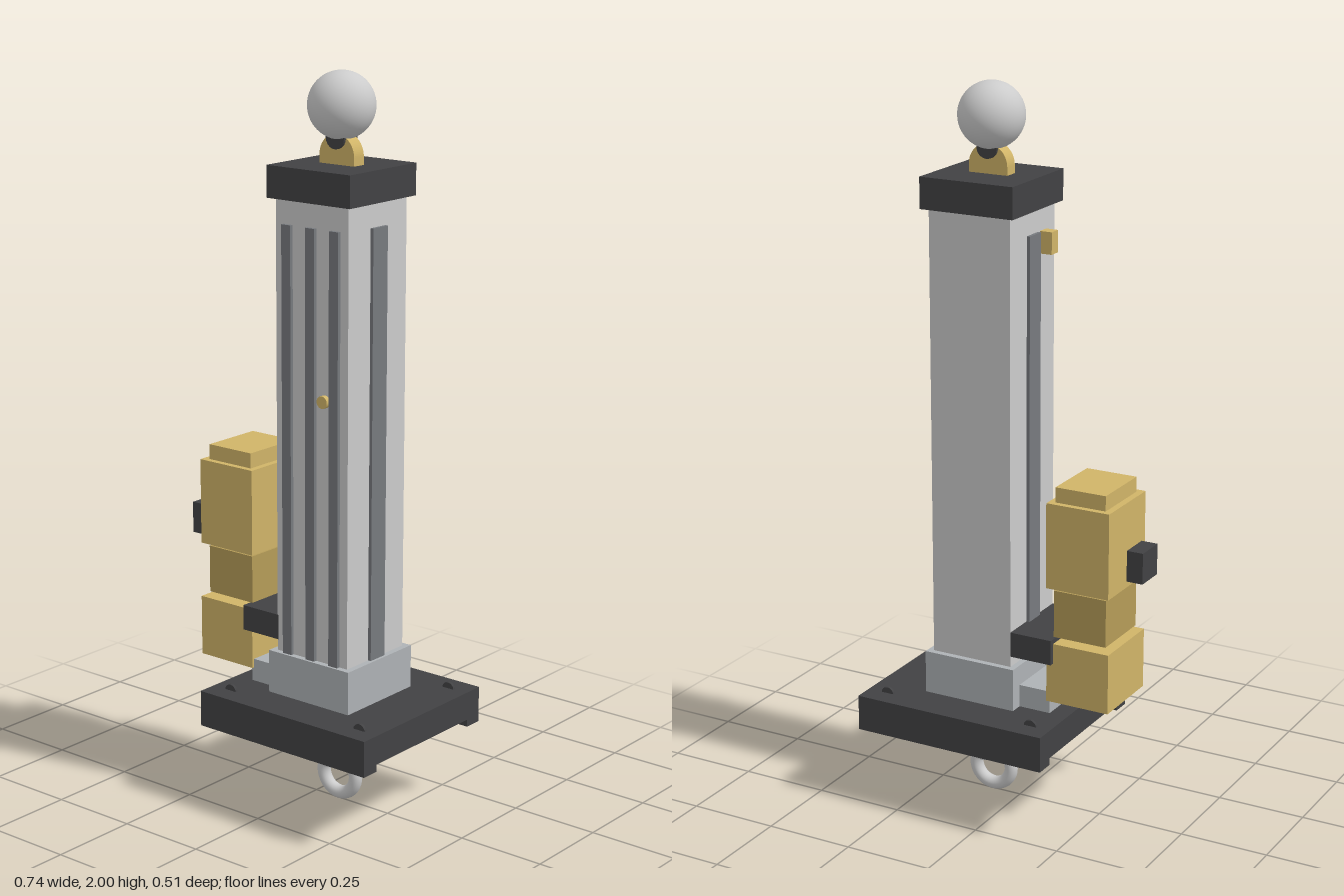
import * as THREE from 'three';

const CX = 0.083; // axis of the column

export function createModel() {
  const model = new THREE.Group();
  const mat = (color) => new THREE.MeshStandardMaterial({ color });
  const grey = mat(0xcccccc), steel = mat(0xaeb2b5), slot = mat(0x777a7e);
  const dark = mat(0x424244), gold = mat(0xd0b468), bronze = mat(0xb59c58);

  const add = (name, geometry, material, x = 0, y = 0, z = 0) => {
    const mesh = new THREE.Mesh(geometry, material);
    mesh.name = name;
    mesh.position.set(x, y, z);
    model.add(mesh);
    return mesh;
  };
  // Box given by its extents on each axis
  const box = (name, material, [x0, x1], [y0, y1], [z0, z1]) =>
    add(name, new THREE.BoxGeometry(x1 - x0, y1 - y0, z1 - z0), material,
      (x0 + x1) / 2, (y0 + y1) / 2, (z0 + z1) / 2);
  // Cylinder lying along z
  const disc = (name, material, r, depth, x, y, z, sides = 32) =>
    add(name, new THREE.CylinderGeometry(r, r, depth, sides).rotateX(Math.PI / 2), material, x, y, z);
  const around = (half) => [CX - half, CX + half];

  // Base plate with a channel underneath, running along x
  const section = new THREE.Shape([
    [-0.253, 0.22], [-0.2, 0.22], [-0.2, 0.24], [0.2, 0.24],
    [0.2, 0.22], [0.253, 0.22], [0.253, 0.32], [-0.253, 0.32],
  ].map(([z, y]) => new THREE.Vector2(z, y)));
  const plate = new THREE.ExtrudeGeometry(section, { depth: 0.567, bevelEnabled: false });
  add('basePlate', plate.rotateY(Math.PI / 2), dark, -0.2);
  for (const x of [-0.14, 0.307])
    for (const z of [-0.195, 0.195]) disc('baseBolt', dark, 0.019, 0.008, x, 0.318, z, 16);

  // Column with collar and cap
  box('collar', steel, around(0.137), [0.32, 0.44], [-0.137, 0.137]);
  box('column', grey, around(0.12), [0.44, 1.675], [-0.12, 0.12]);
  box('cap', dark, around(0.137), [1.675, 1.76], [-0.137, 0.137]);

  // Dark strips on the front and both sides
  for (const dx of [-0.079, 0, 0.079])
    box('frontStrip', slot, [CX + dx - 0.015, CX + dx + 0.015], [0.44, 1.61], [0.118, 0.13]);
  for (const s of [-1, 1])
    add('sideStrip', new THREE.BoxGeometry(0.012, 1.17, 0.06), slot, CX + s * 0.123, 1.025, 0);
  disc('button', gold, 0.017, 0.014, 0.127, 1.16, 0.127, 20);
  box('sideClip', gold, [-0.072, -0.037], [1.55, 1.61], [0.041, 0.075]);

  // Round-topped lug, pin and ball
  const lug = new THREE.Shape();
  lug.moveTo(-0.057, 0);
  lug.lineTo(0.057, 0);
  lug.lineTo(0.057, 0.022);
  lug.absarc(0, 0.022, 0.057, 0, Math.PI, false);
  lug.closePath();
  add('topLug', new THREE.ExtrudeGeometry(lug, { depth: 0.04, bevelEnabled: false, curveSegments: 20 }),
    gold, CX, 1.76, -0.02);
  disc('lugPin', dark, 0.03, 0.056, CX, 1.83, 0);
  add('ball', new THREE.SphereGeometry(0.089, 40, 28), grey, CX, 1.911, 0);

  // Hanging barrel and ring under the base
  disc('barrel', grey, 0.06, 0.146, CX, 0.177, 0);
  add('ring', new THREE.TorusGeometry(0.0555, 0.0185, 20, 40), grey, CX, 0.074, 0);

  // Motor stack and its mounts
  box('motorLower', gold, [-0.325, -0.14], [0.358, 0.527], [-0.107, 0.107]);
  box('motorMiddle', bronze, [-0.308, -0.153], [0.54, 0.673], [-0.09, 0.09]);
  box('motorUpper', gold, [-0.323, -0.138], [0.683, 0.922], [-0.107, 0.107]);
  box('motorLid', gold, [-0.304, -0.156], [0.922, 0.964], [-0.09, 0.09]);
  box('terminalBox', dark, [-0.37, -0.32], [0.7, 0.787], [0, 0.088]);
  box('mountArm', dark, [-0.16, -0.035], [0.47, 0.54], [-0.12, 0.12]);
  box('mountFoot', steel, [-0.147, -0.05], [0.318, 0.383], [-0.1, 0.1]);

  return model;
}
